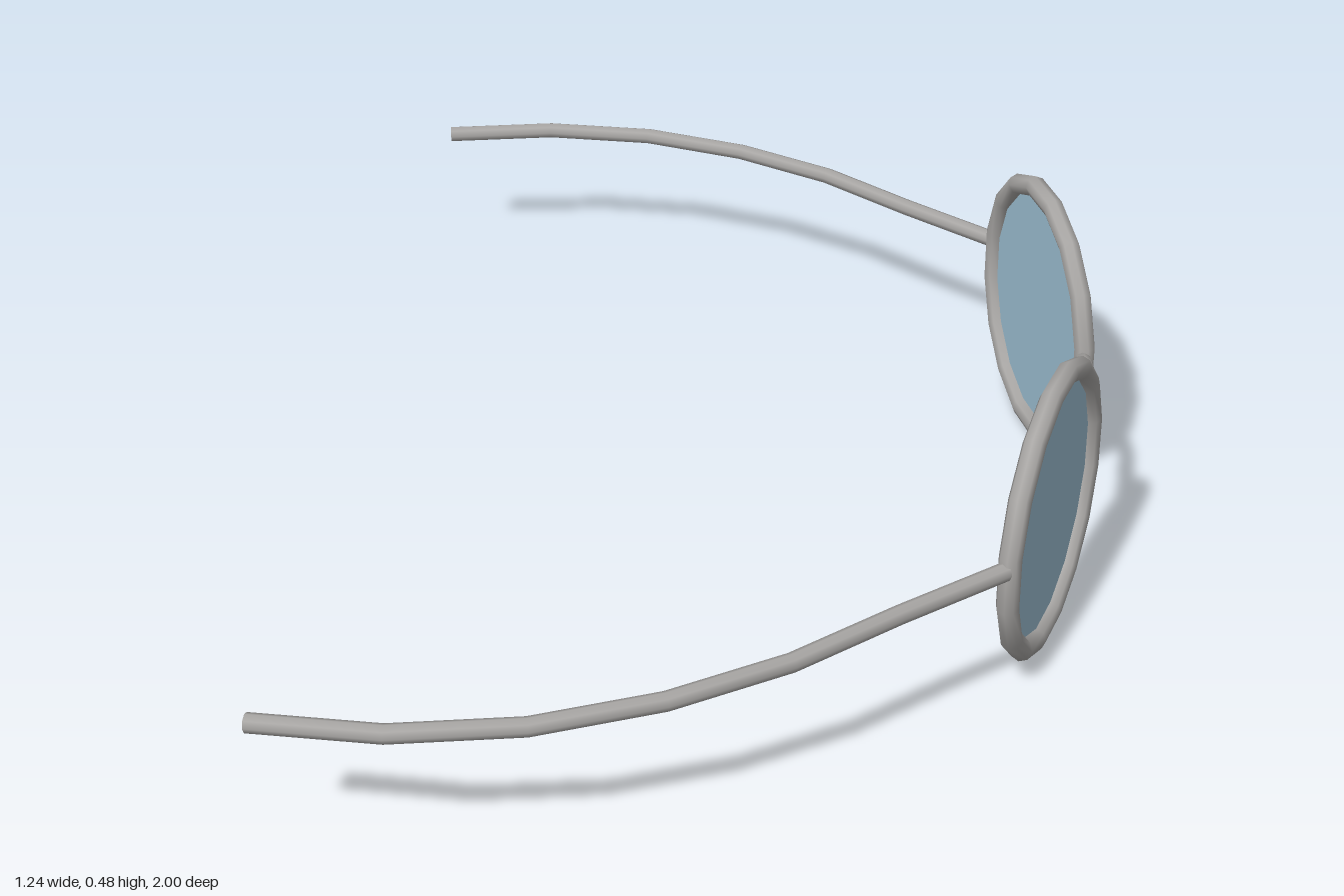
import * as THREE from 'three';

const frameGrey = new THREE.MeshStandardMaterial({ color: 0xa8a6a4 });
frameGrey.name = 'frameGrey';
const lensBlue = new THREE.MeshStandardMaterial({ color: 0x9fc2d5, side: THREE.DoubleSide });
lensBlue.name = 'lensBlue';

const RIM_SIDES = 16;
const RIM_RADIUS = 0.228;
const RIM_TUBE = 0.0185;

// Bent wire with one straight piece per point gap and closed ends
function wire(name, points, radius) {
  const group = new THREE.Group();
  group.name = name;
  const curve = new THREE.CatmullRomCurve3(points.map(p => new THREE.Vector3(...p)));
  const tube = new THREE.Mesh(new THREE.TubeGeometry(curve, points.length - 1, radius, 8), frameGrey);
  tube.name = name + 'Wire';
  group.add(tube);
  for (const t of [0, 1]) {
    const cap = new THREE.Mesh(new THREE.CircleGeometry(radius, 8), frameGrey);
    cap.name = name + 'End';
    const out = curve.getTangentAt(t).multiplyScalar(t ? 1 : -1);
    cap.position.copy(curve.getPointAt(t));
    cap.quaternion.setFromUnitVectors(new THREE.Vector3(0, 0, 1), out);
    group.add(cap);
  }
  return group;
}

// Round rim with its lens, turned outward a little
function eyepiece(side) {
  const group = new THREE.Group();
  group.name = side > 0 ? 'eyepieceA' : 'eyepieceB';
  const rim = new THREE.Mesh(new THREE.TorusGeometry(RIM_RADIUS, RIM_TUBE, 8, RIM_SIDES), frameGrey);
  rim.name = 'rim';
  const lens = new THREE.Mesh(new THREE.CircleGeometry(RIM_RADIUS, RIM_SIDES), lensBlue);
  lens.name = 'lens';
  for (const part of [rim, lens]) {
    part.geometry.rotateZ(Math.PI / RIM_SIDES);
    group.add(part);
  }
  group.position.set(0.527, 0.242, side * 0.325);
  group.rotation.y = Math.PI / 2 - side * 0.322;
  return group;
}

export function createModel() {
  const model = new THREE.Group();
  model.name = 'roundGlasses';

  // Rims, lenses and curved temples, mirrored across z
  const temple = [
    [0.45, 0.268, 0.545], [0.285, 0.267, 0.672], [0.13, 0.266, 0.8], [-0.04, 0.264, 0.897],
    [-0.23, 0.261, 0.963], [-0.425, 0.257, 0.985], [-0.62, 0.252, 0.965],
  ];
  for (const side of [1, -1]) {
    model.add(eyepiece(side));
    model.add(wire(side > 0 ? 'templeA' : 'templeB', temple.map(([x, y, z]) => [x, y, z * side]), 0.015));
  }

  // Arched nose bridge
  model.add(wire('bridge', [
    [0.594, 0.266, 0.108], [0.594, 0.292, 0.055], [0.594, 0.308, 0],
    [0.594, 0.292, -0.055], [0.594, 0.266, -0.108],
  ], 0.014));

  return model;
}
